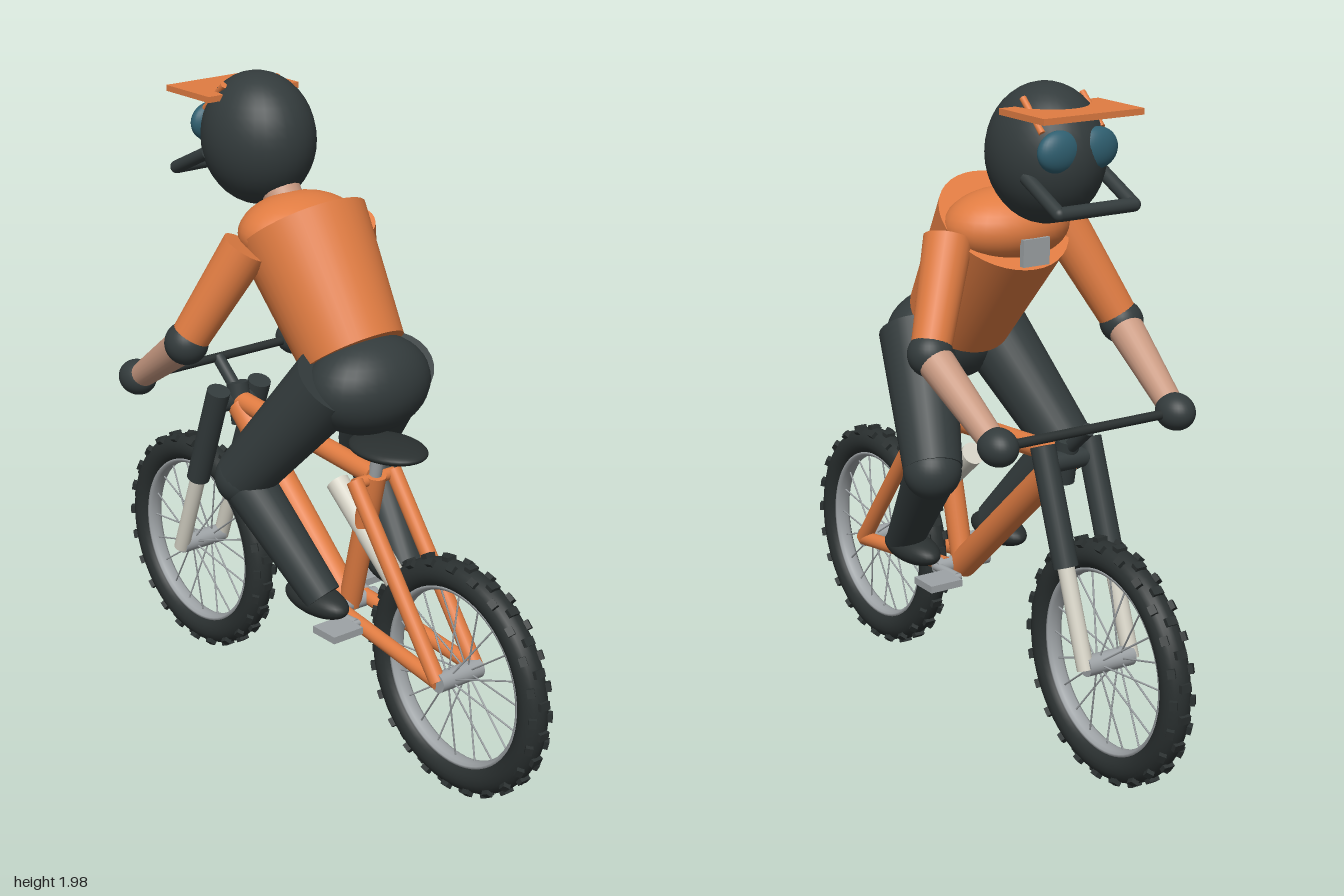
import * as THREE from 'three';
import { mergeGeometries } from 'three/addons/utils/BufferGeometryUtils.js';

const paint = (name, color) => {
  const m = new THREE.MeshStandardMaterial({ color });
  m.name = name;
  return m;
};

export function createModel() {
  const model = new THREE.Group();
  model.name = 'bikeAndRider';
  const orange = paint('orange', 0xe07c42);
  const dark = paint('charcoal', 0x333b3c);
  const black = paint('rubber', 0x2a3030);
  const skin = paint('skin', 0xc99a82);
  const metal = paint('metal', 0x9ea3a6);
  const cream = paint('cream', 0xd6d3c6);
  const teal = paint('lens', 0x2f5f70);

  const V = (x, y, z) => new THREE.Vector3(x, y, z);
  const add = (name, geo, mat, parent = model) => {
    const m = new THREE.Mesh(geo, mat);
    m.name = name;
    parent.add(m);
    return m;
  };
  // Tapered rod geometry from point a to point b
  const rodGeo = (a, b, ra, rb = ra, sides = 24) => {
    const A = V(...a), B = V(...b), d = B.clone().sub(A);
    const g = new THREE.CylinderGeometry(rb, ra, d.length(), sides);
    g.applyQuaternion(new THREE.Quaternion().setFromUnitVectors(V(0, 1, 0), d.normalize()));
    const c = A.add(B).multiplyScalar(0.5);
    return g.translate(c.x, c.y, c.z);
  };
  const rod = (name, mat, a, b, ra, rb, sides) => add(name, rodGeo(a, b, ra, rb, sides), mat);
  const ball = (name, mat, c, r) => {
    const m = add(name, new THREE.SphereGeometry(1, 32, 20), mat);
    m.position.set(...c);
    m.scale.set(...r);
    return m;
  };
  const box = (name, mat, size, c) => {
    const m = add(name, new THREE.BoxGeometry(...size), mat);
    m.position.set(...c);
    return m;
  };

  // Wheels: tyre with knobs, rim, spokes and hub, axle along x
  const knobs = [], spokes = [];
  const rows = 48;
  for (let i = 0; i < rows; i++) {
    const t = (i / rows) * Math.PI * 2;
    const place = (w, h, d, x, r, tilt) => {
      const g = new THREE.BoxGeometry(w, h, d);
      g.rotateZ(tilt).translate(x, r, 0).rotateX(t);
      knobs.push(g);
    };
    if (i % 2) place(0.034, 0.022, 0.024, 0, 0.355, 0);
    else for (const s of [-1, 1]) place(0.022, 0.02, 0.026, s * 0.032, 0.346, -s * 0.75);
  }
  for (let i = 0; i < 20; i++) {
    const t = (i / 20) * Math.PI * 2;
    const g = rodGeo([(i % 2 ? 1 : -1) * 0.035, 0.02, 0], [0, 0.268, 0], 0.0028, 0.0028, 5);
    spokes.push(g.rotateX(t));
  }
  const knobGeo = mergeGeometries(knobs), spokeGeo = mergeGeometries(spokes);
  const tyreGeo = new THREE.TorusGeometry(0.313, 0.044, 18, 72).rotateY(Math.PI / 2);
  const rimGeo = new THREE.TorusGeometry(0.272, 0.012, 10, 72).scale(1, 1, 2.2).rotateY(Math.PI / 2);
  for (const [name, z] of [['rearWheel', 0.633], ['frontWheel', -0.63]]) {
    const wheel = new THREE.Group();
    wheel.name = name;
    wheel.position.set(0, 0.37, z);
    model.add(wheel);
    add('tyre', tyreGeo, black, wheel);
    add('knobs', knobGeo, black, wheel);
    add('rim', rimGeo, metal, wheel);
    add('spokes', spokeGeo, metal, wheel);
    add('hub', rodGeo([-0.08, 0, 0], [0.08, 0, 0], 0.03), metal, wheel);
  }

  // Frame
  rod('topTube', orange, [0, 0.875, 0.25], [0, 0.925, -0.41], 0.032);
  rod('downTube', orange, [0, 0.42, 0.14], [0, 0.91, -0.4], 0.045);
  rod('seatTube', orange, [0, 0.42, 0.14], [0, 0.88, 0.255], 0.035);
  rod('stayBridge', orange, [-0.075, 0.865, 0.25], [0.075, 0.865, 0.25], 0.018);
  rod('bottomBracket', metal, [-0.095, 0.425, 0.15], [0.095, 0.425, 0.15], 0.025);
  rod('rearShock', cream, [0, 0.57, 0.36], [0, 0.8, 0.08], 0.036);
  rod('seatPost', metal, [0, 0.86, 0.25], [0, 0.97, 0.275], 0.02);
  ball('saddle', black, [0, 0.98, 0.312], [0.1, 0.028, 0.138]);

  // Fork crown, stem and handlebar
  rod('headTube', dark, [0, 0.85, -0.395], [0, 0.98, -0.42], 0.035);
  rod('forkCrown', dark, [-0.08, 0.92, -0.425], [0.08, 0.92, -0.425], 0.03);
  rod('stem', dark, [0, 0.95, -0.42], [0, 1.035, -0.52], 0.02);
  rod('handlebar', black, [-0.33, 1.035, -0.52], [0.33, 1.035, -0.52], 0.014);

  // Torso, head and helmet
  ball('hips', dark, [0, 1.155, 0.222], [0.203, 0.148, 0.15]);
  rod('torso', orange, [0, 1.23, 0.15], [0, 1.56, -0.088], 0.16, 0.2, 40);
  ball('shoulders', orange, [0, 1.55, -0.1], [0.2, 0.112, 0.15]);
  box('chestPlate', metal, [0.09, 0.08, 0.02], [0, 1.495, -0.247]);
  rod('neck', skin, [0, 1.56, -0.13], [0, 1.7, -0.225], 0.06);
  ball('helmet', dark, [0, 1.79, -0.297], [0.164, 0.2, 0.19]);
  box('visor', orange, [0.335, 0.018, 0.215], [0, 1.922, -0.422]);
  rod('chinBar', dark, [-0.125, 1.67, -0.545], [0.125, 1.67, -0.545], 0.02);

  // Mirrored parts; s = +1 is the +x side
  for (const s of [1, -1]) {
    const side = s > 0 ? 'PlusX' : 'MinusX';
    const X = (x, y, z) => [s * x, y, z];
    const r = (name, mat, a, b, ra, rb) => rod(name + side, mat, X(...a), X(...b), ra, rb);
    const o = (name, mat, c, size) => ball(name + side, mat, X(...c), size);

    // Bike
    r('seatStay', orange, [0.074, 0.37, 0.63], [0.074, 0.875, 0.25], 0.025);
    r('chainStay', orange, [0.074, 0.37, 0.63], [0.06, 0.43, 0.14], 0.023);
    r('forkUpper', dark, [0.08, 0.97, -0.41], [0.08, 0.64, -0.53], 0.037);
    r('forkLower', cream, [0.08, 0.66, -0.523], [0.08, 0.36, -0.632], 0.025);
    const pz = 0.155 - s * 0.125;
    r('crank', metal, [0.09, 0.425, 0.155], [0.09, 0.43, pz], 0.014);
    r('pedalAxle', metal, [0.08, 0.43, pz], [0.2, 0.43, pz], 0.01);
    box('pedal' + side, metal, [0.11, 0.022, 0.1], X(0.16, 0.43, pz));

    // Helmet details
    o('goggleLens', teal, [0.062, 1.82, -0.452], [0.07, 0.06, 0.035]);
    r('chinArm', dark, [0.125, 1.745, -0.385], [0.125, 1.67, -0.545], 0.02);
    o('chinCorner', dark, [0.125, 1.67, -0.545], [0.02, 0.02, 0.02]);
    r('visorStrut', orange, [0.1, 1.955, -0.33], [0.1, 1.87, -0.425], 0.01);

    // Arm
    r('upperArm', orange, [0.2, 1.53, -0.1], [0.333, 1.24, -0.215], 0.072, 0.058);
    o('elbowPad', dark, [0.335, 1.235, -0.217], [0.066, 0.066, 0.066]);
    r('forearm', skin, [0.335, 1.235, -0.217], [0.308, 1.04, -0.51], 0.056, 0.038);
    o('glove', dark, [0.307, 1.037, -0.522], [0.055, 0.055, 0.066]);

    // Leg
    r('thigh', dark, [0.125, 1.18, 0.2], [0.238, 0.835, -0.07], 0.115, 0.088);
    o('knee', dark, [0.24, 0.83, -0.07], [0.087, 0.087, 0.087]);
    r('shin', dark, [0.24, 0.83, -0.07], [0.165, 0.515, 0.215], 0.08, 0.058);
    o('boot', black, [0.16, 0.495, 0.18], [0.062, 0.045, 0.132]);
  }
  return model;
}
